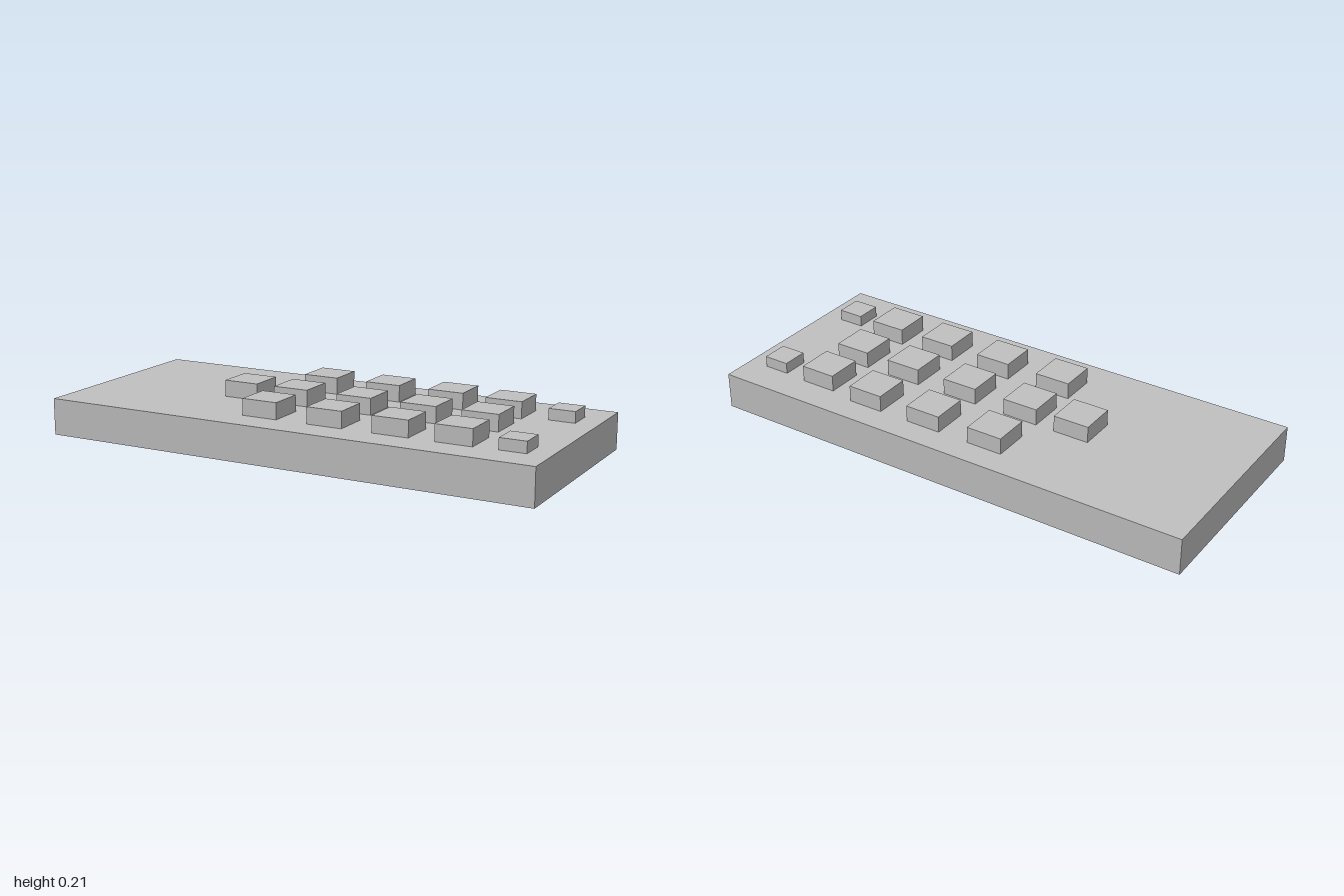
import * as THREE from 'three';

export function createModel() {
  const model = new THREE.Group();
  const grey = new THREE.MeshStandardMaterial({ color: 0xc0c0c0 });
  grey.name = 'light grey';

  const baseHeight = 0.145;

  // Box standing on height y, centred on x and z
  function addBox(name, width, height, depth, x, y, z) {
    const mesh = new THREE.Mesh(new THREE.BoxGeometry(width, height, depth), grey);
    mesh.name = name;
    mesh.position.set(x, y + height / 2, z);
    model.add(mesh);
  }

  // Slab
  addBox('base', 2, baseHeight, 0.844, 0, 0, 0);

  // Square buttons: four columns of three, the last back one set slightly inward
  const size = 0.145;
  const addButton = (x, z) => addBox('button', size, 0.065, size, x, baseHeight, z);
  [-0.139, 0.134, 0.401, 0.647].forEach((x, i) => {
    for (const z of [i === 3 ? -0.224 : -0.245, -0.005, 0.224]) addButton(x, z);
  });

  // Single button at the head of the middle row
  addButton(-0.361, -0.005);

  // Pair of small buttons near the end
  for (const side of [-1, 1]) {
    addBox('smallButton', 0.104, 0.044, 0.104, 0.864, baseHeight, side * 0.237);
  }

  return model;
}
